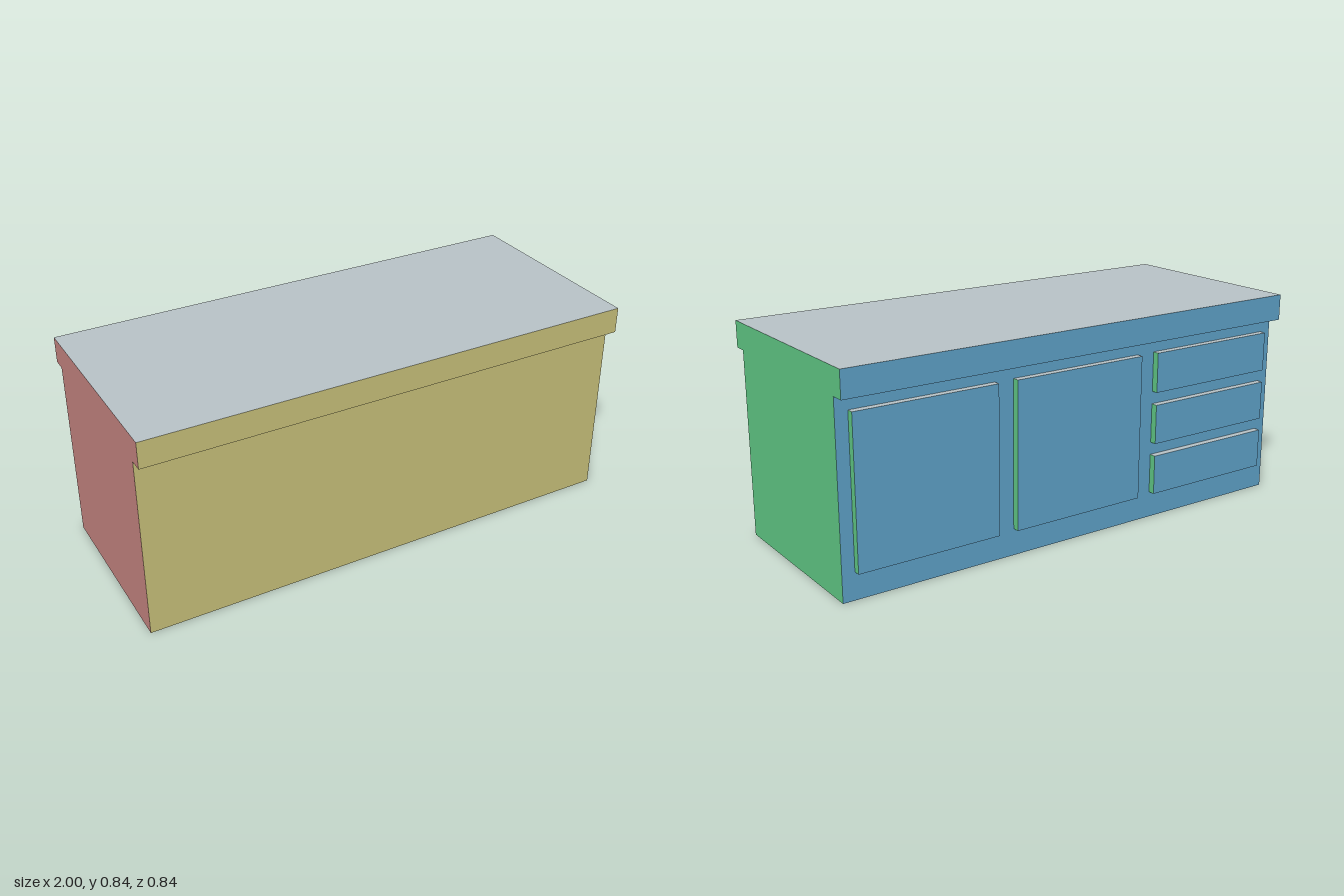
import * as THREE from 'three';

const mat = (name, color) => {
  const m = new THREE.MeshStandardMaterial({ color });
  m.name = name;
  return m;
};

export function createModel() {
  // One flat colour per facing direction, in box order: +x, -x, +y, -y, +z, -z
  const faces = [
    mat('green', 0x61ca86),
    mat('dusty red', 0xc78682),
    mat('pale grey', 0xb9c4c8),
    mat('slate', 0x96a6be),
    mat('khaki', 0xc9c27a),
    mat('blue', 0x60a4cb),
  ];

  const model = new THREE.Group();
  model.name = 'counterCabinet';

  // Box given by its limits on each axis
  const box = (name, [x0, x1], [y0, y1], [z0, z1]) => {
    const mesh = new THREE.Mesh(new THREE.BoxGeometry(x1 - x0, y1 - y0, z1 - z0), faces);
    mesh.position.set((x0 + x1) / 2, (y0 + y1) / 2, (z0 + z1) / 2);
    mesh.name = name;
    model.add(mesh);
  };

  // Cabinet body and overhanging worktop, flush at both ends
  box('cabinetBody', [-1, 1], [0, 0.739], [-0.368, 0.368]);
  box('worktop', [-1, 1], [0.739, 0.843], [-0.421, 0.421]);

  // Raised panels on the back: two doors and a stack of three drawers
  const panelZ = [-0.395, -0.368];
  const half = 0.29;
  const bottom = 0.106;
  [0.66, 0].forEach((x, i) =>
    box(`door${i + 1}`, [x - half, x + half], [bottom, 0.685], panelZ));
  for (let i = 0; i < 3; i++) {
    const y = bottom + i * 0.21;
    box(`drawer${i + 1}`, [-0.66 - half, -0.66 + half], [y, y + 0.159], panelZ);
  }

  return model;
}
